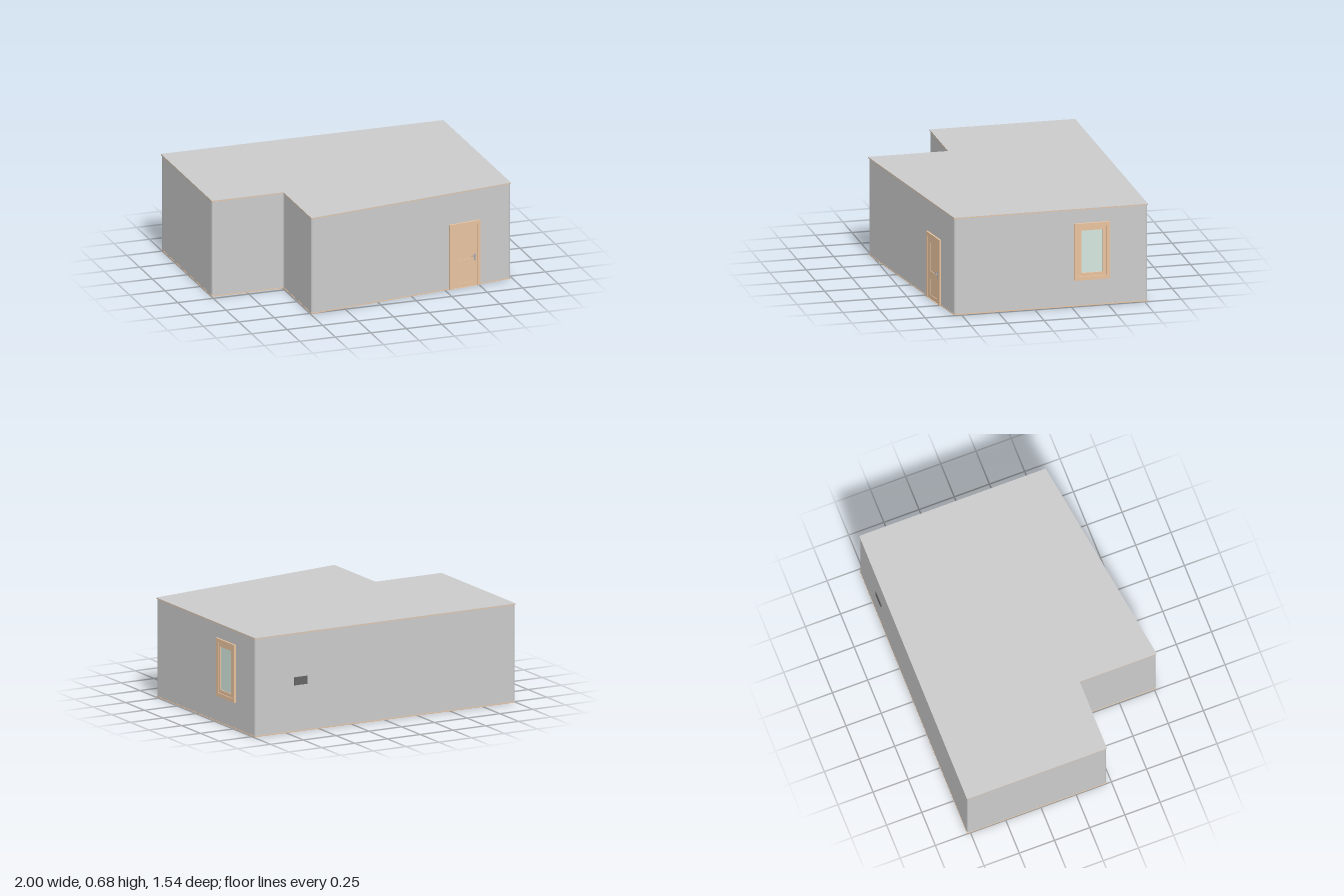
import * as THREE from 'three';

const material = (color) => new THREE.MeshStandardMaterial({ color });
const GREY = material(0xcccccc);
const WOOD = material(0xeac4a0);
const GLASS = material(0xd5e8df);
const DARK = material(0x666666);
const METAL = material(0xa0a4aa);

const HEIGHT = 0.675;
// Floor plan corners as [x, z], running around the room
const PLAN = [[-0.997, -0.772], [0.987, -0.772], [0.987, 0.547], [-0.492, 0.764], [-0.492, 0.217], [-0.997, 0.217]];

// Plan outline with small rounded corners
function planShape(radius) {
  const shape = new THREE.Shape();
  const points = PLAN.map(([x, z]) => new THREE.Vector2(x, -z));
  points.forEach((p, i) => {
    const before = points[(i + points.length - 1) % points.length];
    const after = points[(i + 1) % points.length];
    const a = p.clone().add(before.clone().sub(p).setLength(radius));
    const b = p.clone().add(after.clone().sub(p).setLength(radius));
    if (i === 0) shape.moveTo(a.x, a.y);
    else shape.lineTo(a.x, a.y);
    shape.quadraticCurveTo(p.x, p.y, b.x, b.y);
  });
  shape.closePath();
  return shape;
}

// Horizontal layer of the plan; outset pushes its edge past the walls
function layer(name, y, height, outset, mat, radius) {
  const geometry = new THREE.ExtrudeGeometry(planShape(radius), {
    depth: height, curveSegments: 5, bevelEnabled: outset > 0,
    bevelThickness: 0, bevelSize: outset, bevelSegments: 1,
  });
  geometry.rotateX(-Math.PI / 2);
  const mesh = new THREE.Mesh(geometry, mat);
  mesh.name = name;
  mesh.position.y = y;
  return mesh;
}

function box(name, w, h, d, x, y, z, mat) {
  const mesh = new THREE.Mesh(new THREE.BoxGeometry(w, h, d), mat);
  mesh.name = name;
  mesh.position.set(x, y, z);
  return mesh;
}

// Flat board in the xy plane with rectangular holes; rects are [x0, y0, x1, y1]
function board(name, outer, holes, depth, mat) {
  const trace = (path, [x0, y0, x1, y1]) =>
    path.moveTo(x0, y0).lineTo(x1, y0).lineTo(x1, y1).lineTo(x0, y1).closePath();
  const shape = new THREE.Shape();
  trace(shape, outer);
  for (const hole of holes) {
    const path = new THREE.Path();
    trace(path, hole);
    shape.holes.push(path);
  }
  const mesh = new THREE.Mesh(new THREE.ExtrudeGeometry(shape, { depth, bevelEnabled: false }), mat);
  mesh.name = name;
  return mesh;
}

function createDoor() {
  const door = new THREE.Group();
  door.name = 'door';
  door.add(board('doorCasing', [-0.115, 0, 0.115, 0.455], [[-0.093, 0.001, 0.093, 0.432]], 0.012, WOOD));
  door.add(board('doorLeaf', [-0.093, 0.002, 0.091, 0.43],
    [[-0.05, 0.03, 0.06, 0.14], [-0.05, 0.195, 0.06, 0.39]], 0.007, WOOD));
  door.add(box('lowerPanel', 0.11, 0.11, 0.003, 0.005, 0.085, 0.0015, WOOD));
  door.add(box('upperPanel', 0.11, 0.195, 0.003, 0.005, 0.2925, 0.0015, WOOD));
  // Handle: plate, spindle and lever
  door.add(box('handlePlate', 0.008, 0.045, 0.002, 0.074, 0.2, 0.008, METAL));
  const spindle = new THREE.Mesh(new THREE.CylinderGeometry(0.003, 0.003, 0.01, 12), METAL);
  spindle.name = 'handleSpindle';
  spindle.rotation.x = Math.PI / 2;
  spindle.position.set(0.074, 0.212, 0.012);
  door.add(spindle);
  door.add(box('handleLever', 0.03, 0.006, 0.004, 0.062, 0.212, 0.017, METAL));
  return door;
}

function createWindow() {
  const win = new THREE.Group();
  win.name = 'window';
  win.add(board('windowCasing', [-0.122, -0.197, 0.122, 0.197], [[-0.097, -0.172, 0.097, 0.172]], 0.013, WOOD));
  win.add(board('windowSash', [-0.096, -0.171, 0.096, 0.171], [[-0.073, -0.147, 0.073, 0.147]], 0.009, WOOD));
  win.add(box('windowPane', 0.146, 0.294, 0.003, 0, 0, 0.0015, GLASS));
  return win;
}

export function createModel() {
  const model = new THREE.Group();
  model.name = 'room';

  // Shell of the room
  model.add(layer('floor', 0, 0.006, 0.002, WOOD, 0.012));
  model.add(layer('walls', 0.006, HEIGHT - 0.014, 0, GREY, 0.018));
  model.add(layer('ceilingTrim', HEIGHT - 0.008, 0.005, 0.003, WOOD, 0.004));
  model.add(layer('roof', HEIGHT - 0.003, 0.003, 0.003, GREY, 0.004));

  // Door on the slanted front wall
  const door = createDoor();
  door.position.set(0.643, 0, 0.5975);
  door.rotation.y = Math.atan2(0.217, 1.479);
  model.add(door);

  // Window on the left side wall
  const win = createWindow();
  win.position.set(0.987, 0.377, -0.392);
  win.rotation.y = Math.PI / 2;
  model.add(win);

  // Double wall socket on the back
  const socket = new THREE.Group();
  socket.name = 'wallSocket';
  for (const side of [-1, 1]) {
    socket.add(box('socketBox', 0.048, 0.055, 0.008, side * 0.025, 0, 0, DARK));
  }
  socket.position.set(0.64, 0.345, -0.773);
  model.add(socket);

  return model;
}
